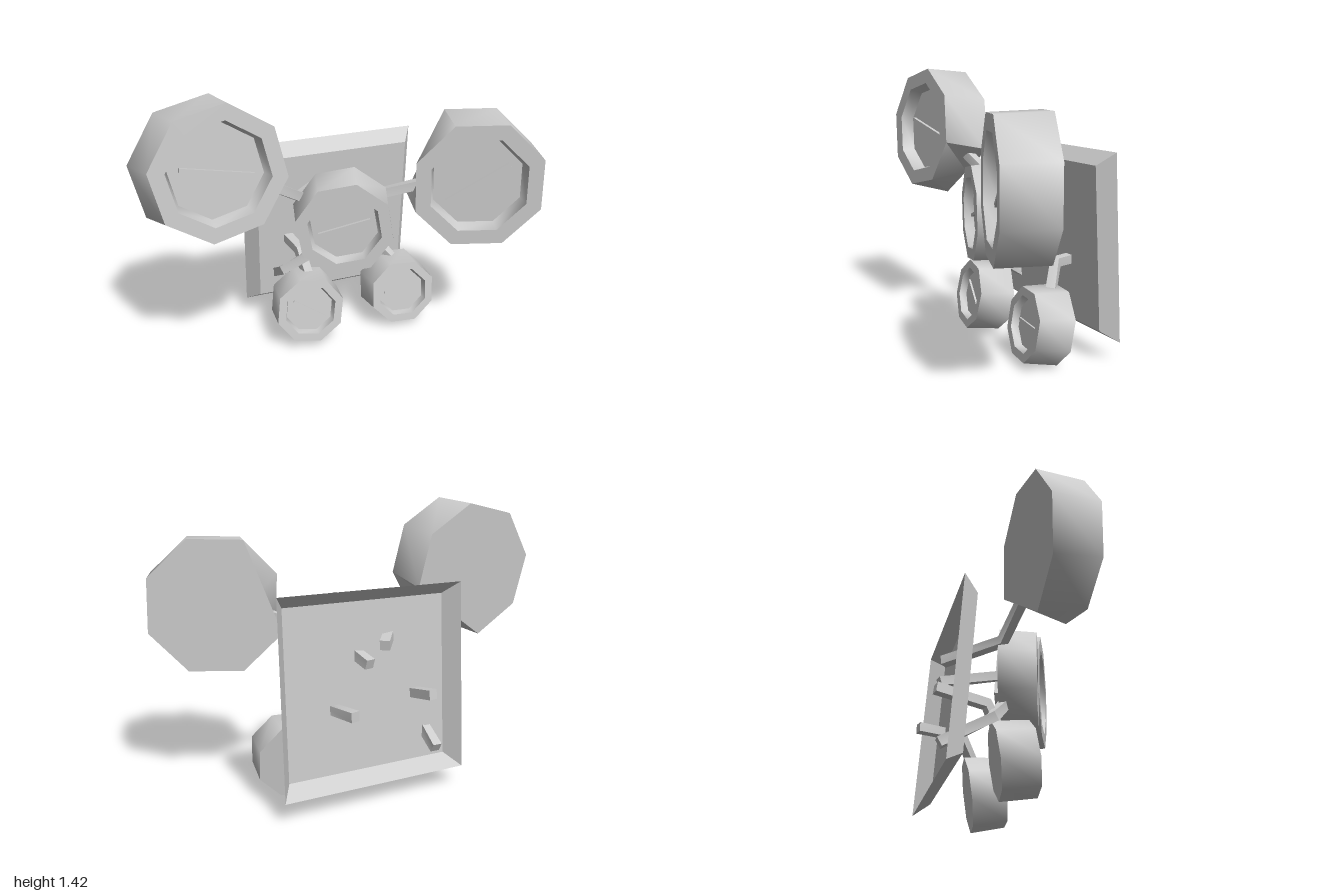
import * as THREE from 'three';
import { toCreasedNormals } from 'three/addons/utils/BufferGeometryUtils.js';

const V = (a) => new THREE.Vector3(...a);

// Regular polygon of points around c, facing along n
function ring(c, n, rx, ry, sides, roll) {
  const m = new THREE.Matrix4().lookAt(V(n), new THREE.Vector3(), new THREE.Vector3(0, 1, 0));
  return Array.from({ length: sides }, (_, i) => {
    const a = THREE.MathUtils.degToRad(roll) + (i / sides) * Math.PI * 2;
    return new THREE.Vector3(Math.cos(a) * rx, Math.sin(a) * ry, 0).applyMatrix4(m).add(V(c));
  });
}

// Skin through a series of rings, with optional flat ends
function loft(rings, startCap = true, endCap = true) {
  const pts = [];
  for (let k = 0; k < rings.length - 1; k++) {
    const a = rings[k], b = rings[k + 1];
    a.forEach((p, i) => {
      const j = (i + 1) % a.length;
      pts.push(p, a[j], b[j], p, b[j], b[i]);
    });
  }
  const first = rings[0], last = rings[rings.length - 1];
  for (let i = 1; i < first.length - 1; i++) {
    if (startCap) pts.push(first[0], first[i + 1], first[i]);
    if (endCap) pts.push(last[0], last[i], last[i + 1]);
  }
  // Octagon sides shade smoothly, rims and ends stay sharp
  return toCreasedNormals(new THREE.BufferGeometry().setFromPoints(pts), THREE.MathUtils.degToRad(50));
}

// Bent square bar through a few points
function bar(points) {
  const p = points.map(V);
  return loft(p.map((q, i) => {
    const t = p[Math.min(i + 1, p.length - 1)].clone().sub(p[Math.max(i - 1, 0)]).normalize();
    return ring(q.toArray(), t.toArray(), 0.034, 0.034, 4, 45);
  }));
}

// back/front: centres, n: facing, rb/rf: radii, roll and needle angle in degrees,
// flat: back corner that is flattened away
const GAUGES = [
  { name: 'upperRight', back: [-0.645, 1.045, -0.158], front: [-0.62, 1.09, 0.09], n: [0.02, 0.08, 1],
    rb: 0.36, rf: 0.335, roll: 35, needle: -12, flat: 6,
    arm: [[0.05, 0.77, -0.385], [-0.16, 0.82, -0.13], [-0.42, 0.98, -0.08]] },
  { name: 'upperLeft', back: [0.695, 0.935, 0.105], front: [0.615, 0.93, 0.345], n: [-0.39, 0, 0.92],
    rb: 0.345, rf: 0.34, roll: 24, needle: 33, flat: 3,
    arm: [[0.13, 0.69, -0.385], [0.19, 0.8, -0.04], [0.46, 0.88, 0.08]] },
  { name: 'middle', back: [0.06, 0.71, -0.075], front: [-0.005, 0.7, 0.105], n: [-0.33, 0, 0.94],
    rb: 0.265, rf: 0.255, roll: 32, needle: 16,
    arm: [[-0.22, 0.23, -0.44], [-0.23, 0.38, -0.19], [-0.04, 0.54, -0.08]] },
  { name: 'lowerRight', back: [-0.135, 0.2, -0.155], front: [-0.165, 0.22, 0.025], n: [-0.15, 0.15, 0.97],
    rb: 0.19, rf: 0.185, roll: 15, needle: -33,
    arm: [[-0.18, 0.515, -0.46], [-0.14, 0.48, -0.2], [-0.12, 0.33, -0.12]] },
  { name: 'lowerLeft', back: [0.405, 0.187, -0.155], front: [0.385, 0.21, 0.025], n: [-0.15, 0.15, 0.97],
    rb: 0.2, rf: 0.185, roll: 22, needle: 0,
    arm: [[0.25, 0.475, -0.46], [0.3, 0.47, -0.22], [0.4, 0.33, -0.12]] },
];

export function createModel() {
  const model = new THREE.Group();
  const material = new THREE.MeshStandardMaterial({ color: 0xcccccc });
  const sheet = new THREE.MeshStandardMaterial({ color: 0xcccccc, side: THREE.DoubleSide });
  const add = (name, geometry, parent = model, mat = material) => {
    const mesh = new THREE.Mesh(geometry, mat);
    mesh.name = name;
    parent.add(mesh);
    return mesh;
  };

  // Shallow tray, open at the back, leaning slightly forward
  const tilt = [-0.026, -0.058, 1], d = Math.SQRT2;
  add('backPanel', loft([
    ring([0.1, 0.57, -0.396], tilt, 0.485 * d, 0.47 * d, 4, 45),
    ring([0.1, 0.566, -0.315], tilt, 0.427 * d, 0.41 * d, 4, 45),
  ], false, true), model, sheet);

  for (const g of GAUGES) {
    const gauge = new THREE.Group();
    gauge.name = g.name + 'Gauge';
    model.add(gauge);

    // Housing: back, rim, recess wall and dial floor in one skin
    const n = V(g.n).normalize();
    const floor = V(g.front).addScaledVector(n, -0.2 * g.rf);
    const oct = (c, r) => ring(c, g.n, r, r, 8, g.roll);
    const back = oct(g.back, g.rb);
    if (g.flat) back[g.flat].lerpVectors(back[g.flat - 1], back[g.flat + 1], 0.5);
    add('housing', loft([
      back, oct(g.front, g.rf), oct(g.front, g.rf * 0.76), oct(floor.toArray(), g.rf * 0.7),
    ]), gauge);

    // Needle lying just above the dial floor
    const needle = add('needle', new THREE.BoxGeometry(g.rf * 1.08, g.rf * 0.06, g.rf * 0.06), gauge);
    needle.position.copy(floor).addScaledVector(n, g.rf * 0.05);
    needle.lookAt(needle.position.clone().add(n));
    needle.rotateZ(THREE.MathUtils.degToRad(g.needle));

    // Support arm from the panel
    add('arm', bar(g.arm), gauge);
  }
  return model;
}
